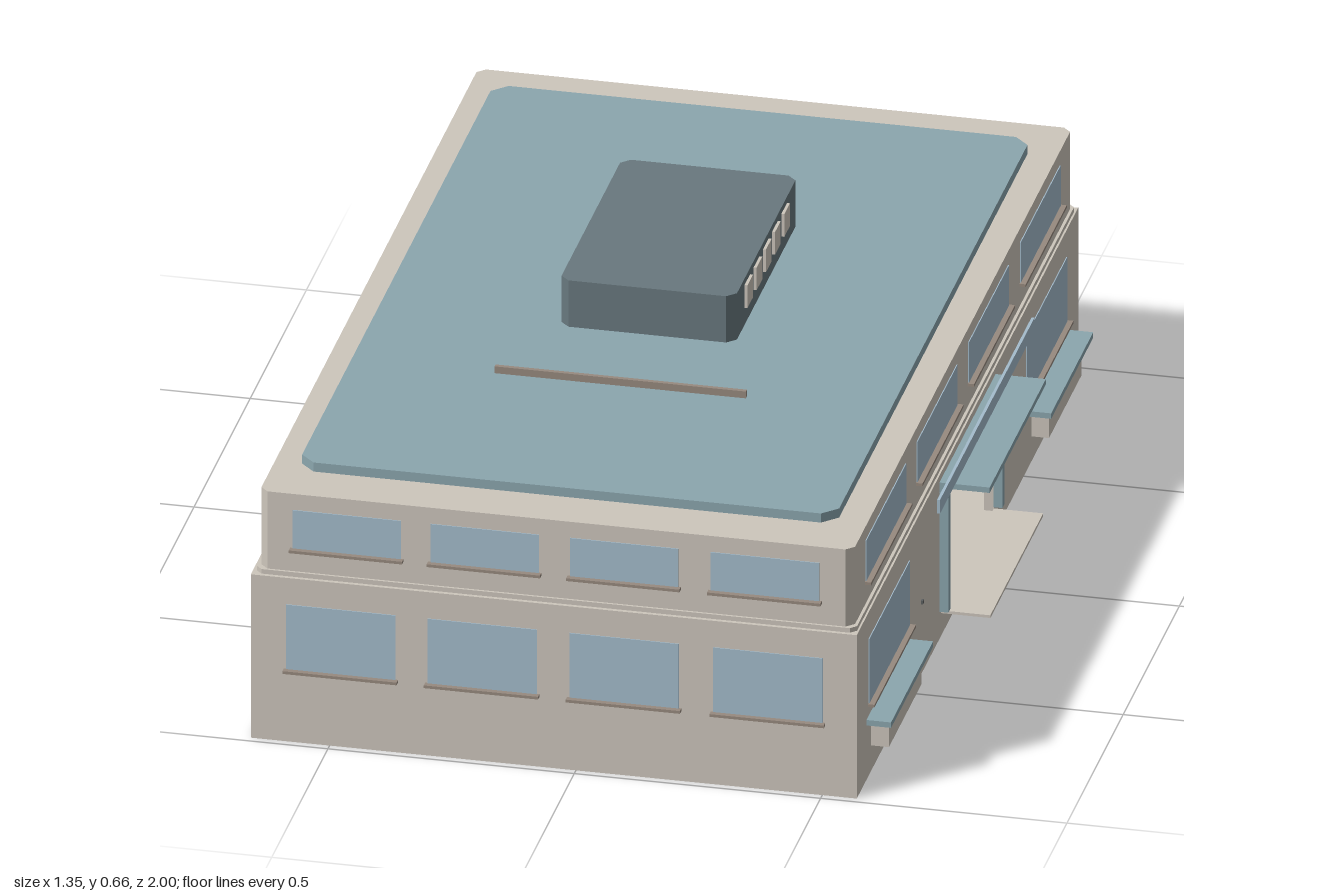
import * as THREE from 'three';

export function createModel() {
  const model = new THREE.Group();
  model.name = 'building';
  const mat = (name, color) => {
    const m = new THREE.MeshStandardMaterial({ color });
    m.name = name;
    return m;
  };
  const wall = mat('beige wall', 0xcdc6bc);
  const teal = mat('teal roof', 0x8ba6ae);
  const slate = mat('dark slate', 0x68787e);
  const glass = mat('blue glass', 0xa4bccc);
  const trim = mat('brown trim', 0x978a7f);
  const metal = mat('dark metal', 0x5c5f60);

  const add = (name, geometry, material, parent = model) => {
    const mesh = new THREE.Mesh(geometry, material);
    mesh.name = name;
    parent.add(mesh);
    return mesh;
  };
  // Box given by its limits on each axis
  const box = (name, material, x0, x1, y0, y1, z0, z1, parent) => {
    const g = new THREE.BoxGeometry(x1 - x0, y1 - y0, z1 - z0);
    g.translate((x0 + x1) / 2, (y0 + y1) / 2, (z0 + z1) / 2);
    return add(name, g, material, parent);
  };
  // Upright block with cut corners in plan
  const chamferBlock = (name, material, x0, x1, y0, y1, z0, z1, c) => {
    const s = new THREE.Shape([
      [x0 + c, -z1], [x1 - c, -z1], [x1, -z1 + c], [x1, -z0 - c],
      [x1 - c, -z0], [x0 + c, -z0], [x0, -z0 - c], [x0, -z1 + c],
    ].map(([x, y]) => new THREE.Vector2(x, y)));
    const g = new THREE.ExtrudeGeometry(s, { depth: y1 - y0, bevelEnabled: false });
    g.rotateX(-Math.PI / 2);
    g.translate(0, y0, 0);
    return add(name, g, material);
  };

  // Hollow ground storey: floor, ceiling, three solid walls
  const L = -0.66, R = 0.57, Z = 0.985, T = 0.02;
  box('groundFloor', wall, L, R, 0, 0.05, -Z, Z);
  box('ceiling', wall, L, R, 0.34, 0.36, -Z, Z);
  box('leftWall', wall, L, L + T, 0.05, 0.34, -Z, Z);
  for (const s of [-1, 1]) {
    box('endWall', wall, L + T, R, 0.05, 0.34, s * Z - (s > 0 ? T : 0), s * Z + (s > 0 ? 0 : T));
    // Entrance wall on each side of the wide opening
    box('entranceWall', wall, R - T, R, 0.05, 0.34, s > 0 ? 0.235 : -Z + T, s > 0 ? Z - T : -0.235);
  }
  box('lintel', wall, R - T, R, 0.325, 0.34, -0.235, 0.235);

  // Upper storey, roof and rooftop room
  chamferBlock('ledge', wall, -0.652, 0.566, 0.36, 0.37, -0.977, 0.977, 0.012);
  chamferBlock('upperStorey', wall, -0.645, 0.56, 0.37, 0.54, -0.972, 0.972, 0.016);
  chamferBlock('roofSlab', teal, -0.59, 0.5, 0.54, 0.56, -0.87, 0.865, 0.03);
  chamferBlock('rooftopRoom', slate, -0.222, 0.134, 0.56, 0.662, -0.398, 0.158, 0.018);
  box('roofBar', trim, -0.3, 0.21, 0.56, 0.575, 0.385, 0.394);
  for (const z of [0.048, -0.034, -0.117, -0.198, -0.28]) {
    box('rooftopVent', wall, 0.134, 0.14, 0.598, 0.648, z - 0.025, z + 0.025);
  }

  // Window pane with sill; local +z points out of the wall
  const windowUnit = (w, y0, y1, x, z, turn) => {
    const g = new THREE.Group();
    g.name = 'window';
    box('pane', glass, -w / 2, w / 2, y0, y1, -0.001, 0.002, g);
    box('sill', trim, -w / 2 - 0.005, w / 2 + 0.005, y0 - 0.006, y0, 0, 0.013, g);
    g.position.set(x, 0, z);
    g.rotation.y = turn;
    model.add(g);
  };
  // Front and back windows
  for (const s of [-1, 1]) {
    const turn = s > 0 ? 0 : Math.PI;
    for (const x of [-0.477, -0.19, 0.098, 0.39]) windowUnit(0.222, 0.16, 0.302, x, s * Z, turn);
    for (const x of [-0.468, -0.188, 0.095, 0.381]) windowUnit(0.22, 0.421, 0.505, x, s * 0.972, turn);
  }
  // Side windows
  for (const z of [-0.687, -0.227, 0.231, 0.687]) {
    windowUnit(0.355, 0.421, 0.51, 0.56, z, Math.PI / 2);
    windowUnit(0.355, 0.421, 0.51, -0.645, z, -Math.PI / 2);
    windowUnit(0.36, 0.16, 0.302, L, z, -Math.PI / 2);
    if (Math.abs(z) > 0.5) windowUnit(0.36, 0.16, 0.302, R, Math.sign(z) * 0.7, Math.PI / 2);
  }

  // Entrance: porch floor, frame and canopy
  box('porchFloor', wall, R, 0.67, 0.05, 0.056, -0.235, 0.235);
  box('canopy', teal, R, 0.672, 0.333, 0.345, -0.25, 0.25);
  box('frameHead', teal, R, 0.588, 0.322, 0.333, -0.247, 0.247);
  for (const z of [-0.241, 0.241]) {
    box('framePost', teal, R, 0.588, 0.06, 0.322, z - 0.009, z + 0.009);
  }
  // Blank sign panel and its bracket
  box('signPanel', glass, 0.604, 0.61, 0.362, 0.392, -0.42, 0.42);
  box('signBracket', glass, 0.592, 0.597, 0.345, 0.366, -0.105, 0.105);

  // Counters under the entrance-side windows, and small wall studs
  for (const s of [-1, 1]) {
    box('counterTop', teal, R, 0.62, 0.12, 0.132, s * 0.712 - 0.187, s * 0.712 + 0.187);
    box('counterBase', wall, R, 0.606, 0.056, 0.12, s * 0.712 - 0.145, s * 0.712 + 0.145);
    box('wallStud', metal, R, 0.574, 0.155, 0.163, s * 0.41 - 0.004, s * 0.41 + 0.004);
  }

  // Ladder on the left-hand wall
  const ladder = new THREE.Group();
  ladder.name = 'ladder';
  model.add(ladder);
  for (const z of [0.462, 0.498]) box('ladderRail', metal, -0.672, -0.667, 0.08, 0.34, z - 0.003, z + 0.003, ladder);
  for (let i = 0; i < 8; i++) {
    const y = 0.1 + i * 0.031;
    box('ladderRung', metal, -0.671, -0.668, y - 0.002, y + 0.002, 0.462, 0.498, ladder);
  }
  return model;
}
